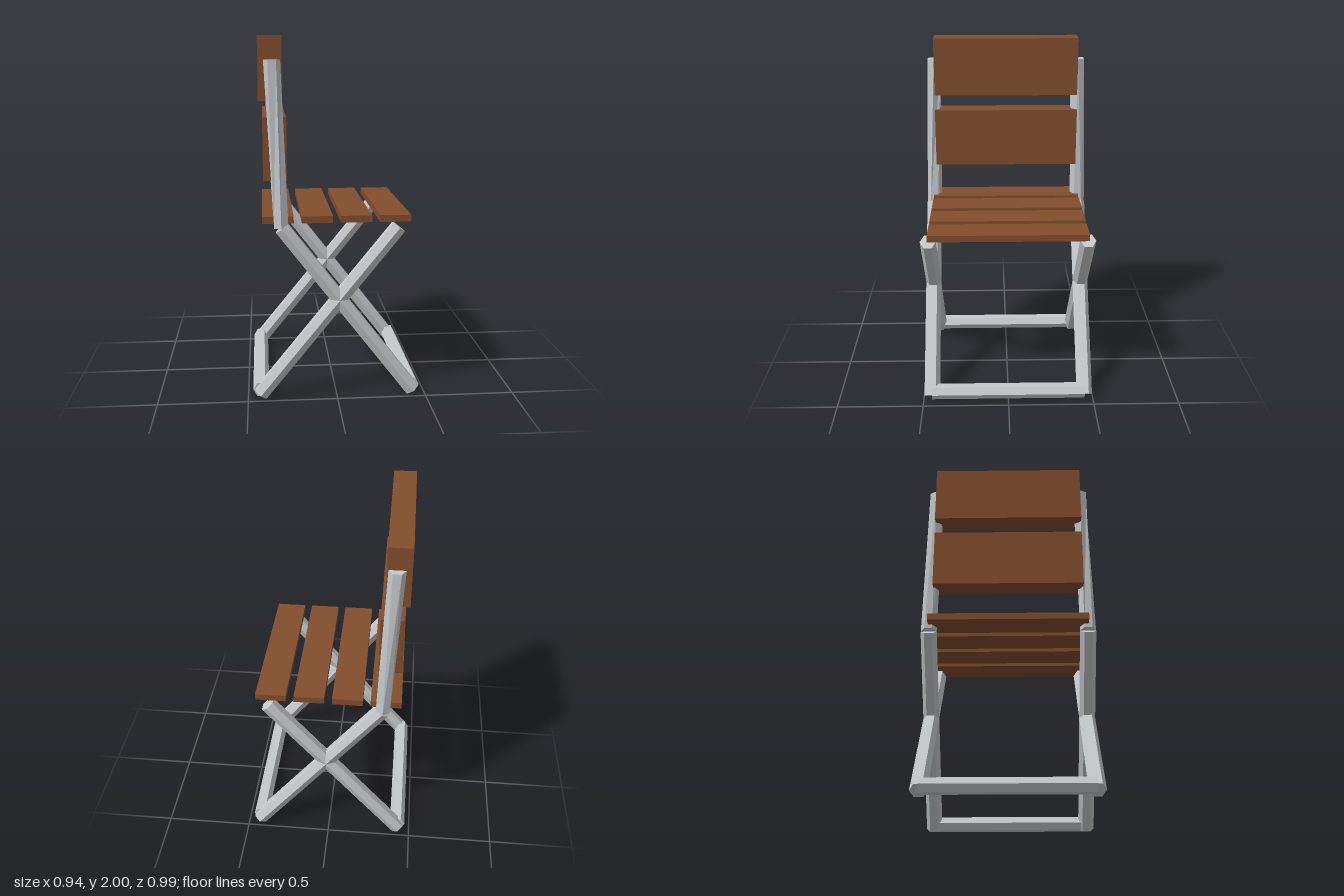
import * as THREE from 'three';

const wood = new THREE.MeshStandardMaterial({ color: 0x834e2c });
wood.name = 'brown wood';
const metal = new THREE.MeshStandardMaterial({ color: 0xc6cacd });
metal.name = 'grey metal';

const R = 0.046; // radius of the six-sided tubing

export function createModel() {
  const chair = new THREE.Group();
  chair.name = 'foldingChair';

  const add = (name, geometry, material, x, y, z) => {
    const mesh = new THREE.Mesh(geometry, material);
    mesh.name = name;
    mesh.position.set(x, y, z);
    chair.add(mesh);
    return mesh;
  };

  // flat-sided hexagonal bar standing along y
  const hexBar = (length, radius = R) => {
    const g = new THREE.CylinderGeometry(radius, radius, length, 6).toNonIndexed();
    g.computeVertexNormals();
    return g;
  };

  // leg between two points of a side plane
  const leg = (name, x0, y0, x1, y1, z) => {
    const dx = x1 - x0, dy = y1 - y0;
    const mesh = add(name, hexBar(Math.hypot(dx, dy)), metal, (x0 + x1) / 2, (y0 + y1) / 2, z);
    mesh.rotation.z = Math.atan2(-dx, dy);
  };

  // backrest post: leans back and inward, twisting a twelfth of a turn on the way up
  const post = (name, side) => {
    const y0 = 0.978, y1 = 1.874;
    const g = hexBar(y1 - y0, 0.045);
    const p = g.attributes.position;
    const v = new THREE.Vector3();
    const up = new THREE.Vector3(0, 1, 0);
    for (let i = 0; i < p.count; i++) {
      v.fromBufferAttribute(p, i);
      if (v.y > 0) {
        v.applyAxisAngle(up, side * Math.PI / 6);
        v.x -= 0.04;
        v.z -= side * 0.02;
      }
      p.setXYZ(i, v.x, v.y, v.z);
    }
    g.computeVertexNormals();
    add(name, g, metal, -0.305, (y0 + y1) / 2, side * 0.449);
  };

  // crossed legs and posts on both sides
  for (const [side, label] of [[1, 'left'], [-1, 'right']]) {
    const z = side * 0.45;
    leg(label + 'FrontFootLeg', 0.43, 0.026, -0.301, 0.977, z);
    leg(label + 'RearFootLeg', -0.43, 0.026, 0.339, 0.974, z);
    post(label + 'BackPost', side);
  }

  // floor bars joining the feet
  for (const [name, x] of [['frontFloorBar', 0.424], ['rearFloorBar', -0.427]]) {
    const g = hexBar(0.9, 0.045);
    g.rotateY(Math.PI / 6).rotateX(Math.PI / 2);
    add(name, g, metal, x, 0.05, 0);
  }

  // seat slats
  for (let i = 0; i < 4; i++) {
    add('seatSlat' + (i + 1), new THREE.BoxGeometry(0.171, 0.038, 0.9), wood, -0.322 + i * 0.2147, 1.019, 0);
  }

  // backrest boards
  add('lowerBackBoard', new THREE.BoxGeometry(0.128, 0.342, 0.858), wood, -0.335, 1.403, 0);
  add('upperBackBoard', new THREE.BoxGeometry(0.128, 0.34, 0.858), wood, -0.356, 1.83, 0);

  return chair;
}
